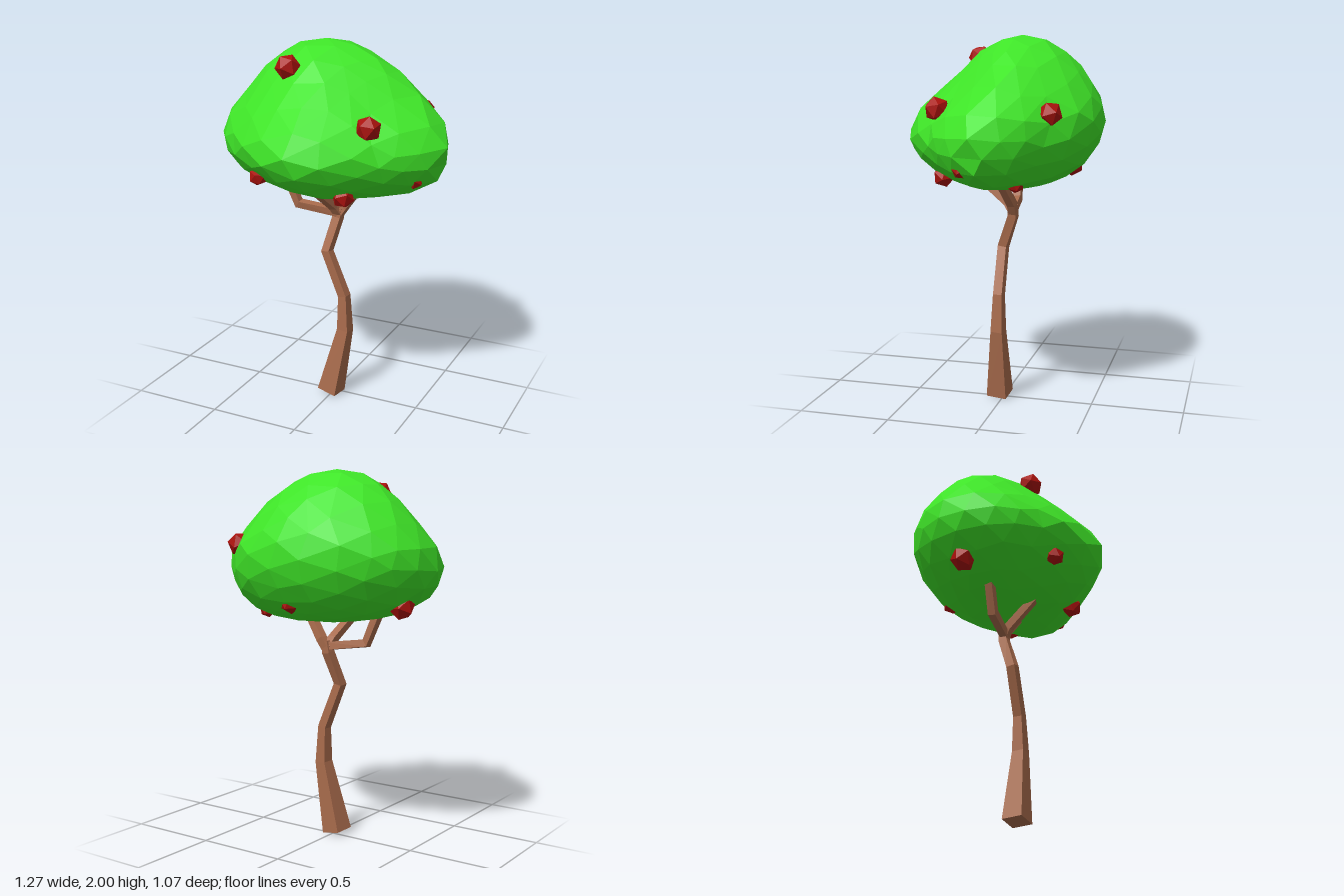
import * as THREE from 'three';

const paint = (color) => new THREE.MeshStandardMaterial({ color, flatShading: true });
const bark = paint(0xa86b4c), leaf = paint(0x3fe528), red = paint(0xab120d);

// Crown levels: elevation in degrees, height, x min, x max, z min, z max
const LEVELS = [
  [-90, 1.19, 0.03, 0.03, -0.02, -0.02],
  [-66, 1.207, -0.23, 0.31, -0.22, 0.19],
  [-46, 1.25, -0.41, 0.48, -0.34, 0.34],
  [-28, 1.33, -0.56, 0.59, -0.44, 0.46],
  [-10, 1.43, -0.625, 0.63, -0.505, 0.535],
  [3, 1.51, -0.64, 0.63, -0.53, 0.535],
  [15, 1.6, -0.62, 0.59, -0.535, 0.475],
  [32, 1.73, -0.53, 0.45, -0.475, 0.335],
  [50, 1.87, -0.41, 0.29, -0.37, 0.195],
  [70, 1.967, -0.26, 0.1, -0.24, 0.08],
  [90, 2.0, -0.1, -0.1, -0.07, -0.07],
];
// Plan outline of the crown: radius every 22.5 degrees from +x towards +z
const OUTLINE = [1.01, 0.87, 0.8, 0.87, 1.01, 0.94, 0.91, 0.96, 1.01, 1.02, 1.02, 1.02, 1.01, 1, 0.91, 0.95];

// Maps a direction on the unit sphere to a point on the crown
function crownPoint(d) {
  const phi = THREE.MathUtils.radToDeg(Math.asin(THREE.MathUtils.clamp(d.y, -1, 1)));
  let i = 0;
  while (i < LEVELS.length - 2 && phi > LEVELS[i + 1][0]) i++;
  const a = LEVELS[i], b = LEVELS[i + 1];
  const t = (phi - a[0]) / (b[0] - a[0]);
  const [, y, x0, x1, z0, z1] = a.map((v, k) => THREE.MathUtils.lerp(v, b[k], t));
  const angle = Math.atan2(d.z, d.x);
  const s = ((angle / (Math.PI * 2) + 1) % 1) * 16, k = Math.floor(s);
  const r = THREE.MathUtils.lerp(OUTLINE[k % 16], OUTLINE[(k + 1) % 16], s - k);
  return new THREE.Vector3(
    (x0 + x1) / 2 + ((x1 - x0) / 2) * r * Math.cos(angle), y,
    (z0 + z1) / 2 + ((z1 - z0) / 2) * r * Math.sin(angle));
}

function crownGeometry() {
  const geo = new THREE.IcosahedronGeometry(1, 3);
  const pos = geo.attributes.position;
  const d = new THREE.Vector3();
  for (let i = 0; i < pos.count; i++) {
    d.fromBufferAttribute(pos, i);
    // slight unevenness of the facets
    const { x, y, z } = d;
    d.set(x + 0.04 * Math.sin(7 * y + 5 * z), y + 0.03 * Math.sin(6 * z + 8 * x), z + 0.04 * Math.sin(9 * x + 4 * y));
    const p = crownPoint(d.normalize());
    pos.setXYZ(i, p.x, p.y, p.z);
  }
  geo.computeVertexNormals();
  return geo;
}

// Four-sided limb along a path of [x, y, z, radius]
function limb(name, path, twist = 0.12) {
  const pts = path.map((p) => new THREE.Vector3(p[0], p[1], p[2]));
  const verts = [], index = [], last = pts.length - 1;
  pts.forEach((p, i) => {
    const t = pts[Math.min(i + 1, last)].clone().sub(pts[Math.max(i - 1, 0)]).normalize();
    const u = new THREE.Vector3().crossVectors(t, new THREE.Vector3(0, 0, 1)).normalize();
    const v = new THREE.Vector3().crossVectors(u, t);
    for (let k = 0; k < 4; k++) {
      const a = Math.PI / 4 + twist + (k * Math.PI) / 2;
      const q = p.clone().addScaledVector(u, Math.cos(a) * path[i][3]).addScaledVector(v, Math.sin(a) * path[i][3]);
      verts.push(q.x, q.y, q.z);
      if (i < last) {
        const n = (k + 1) % 4, o = i * 4;
        index.push(o + k, o + k + 4, o + n, o + n, o + k + 4, o + n + 4);
      }
    }
  });
  const e = last * 4;
  index.push(0, 1, 2, 0, 2, 3, e, e + 2, e + 1, e, e + 3, e + 2);
  const geo = new THREE.BufferGeometry();
  geo.setAttribute('position', new THREE.Float32BufferAttribute(verts, 3));
  geo.setIndex(index);
  geo.computeVertexNormals();
  const mesh = new THREE.Mesh(geo, bark);
  mesh.name = name;
  return mesh;
}

export function createModel() {
  const tree = new THREE.Group();
  tree.name = 'tree';

  // Crooked trunk and its three branches
  tree.add(limb('trunk', [
    [-0.01, 0.012, 0.025, 0.08], [0.07, 0.4, 0.012, 0.047], [0.063, 0.6, 0.01, 0.036],
    [-0.04, 0.85, 0.012, 0.035], [-0.005, 1.03, -0.052, 0.034], [0.005, 1.09, -0.054, 0.031],
  ]));
  tree.add(limb('sideBranch', [[0.01, 1.06, -0.05, 0.03], [-0.23, 1.09, -0.02, 0.031], [-0.31, 1.28, -0.01, 0.03]]));
  tree.add(limb('outerBranch', [[-0.005, 1.04, -0.052, 0.031], [0.035, 1.1, -0.056, 0.031], [0.17, 1.27, -0.01, 0.029]]));
  tree.add(limb('frontBranch', [[0, 1.05, -0.055, 0.031], [-0.015, 1.1, -0.02, 0.03], [-0.05, 1.24, 0.16, 0.028]]));

  // Faceted crown
  const crown = new THREE.Mesh(crownGeometry(), leaf);
  crown.name = 'crown';
  tree.add(crown);

  // Fruits half sunk in the crown, one corner pointing outwards
  const fruits = [
    [-0.18, 1.875, 0.18, 0.068], [0.31, 1.62, 0.27, 0.068], [0.37, 1.61, -0.33, 0.066],
    [-0.48, 1.3, -0.08, 0.07], [-0.27, 1.33, 0.35, 0.05], [0.18, 1.26, 0.28, 0.06],
    [0.49, 1.335, 0.09, 0.045], [0.33, 1.25, -0.15, 0.045], [0, 1.32, -0.375, 0.06],
  ];
  const fruitGeo = new THREE.IcosahedronGeometry(1, 0);
  const corner = new THREE.Vector3().fromBufferAttribute(fruitGeo.attributes.position, 0).normalize();
  const middle = new THREE.Vector3(0, 1.53, 0);
  for (const [x, y, z, r] of fruits) {
    const fruit = new THREE.Mesh(fruitGeo, red);
    fruit.name = 'fruit';
    fruit.position.set(x, y, z);
    fruit.scale.setScalar(r);
    fruit.quaternion.setFromUnitVectors(corner, fruit.position.clone().sub(middle).normalize());
    tree.add(fruit);
  }
  return tree;
}
